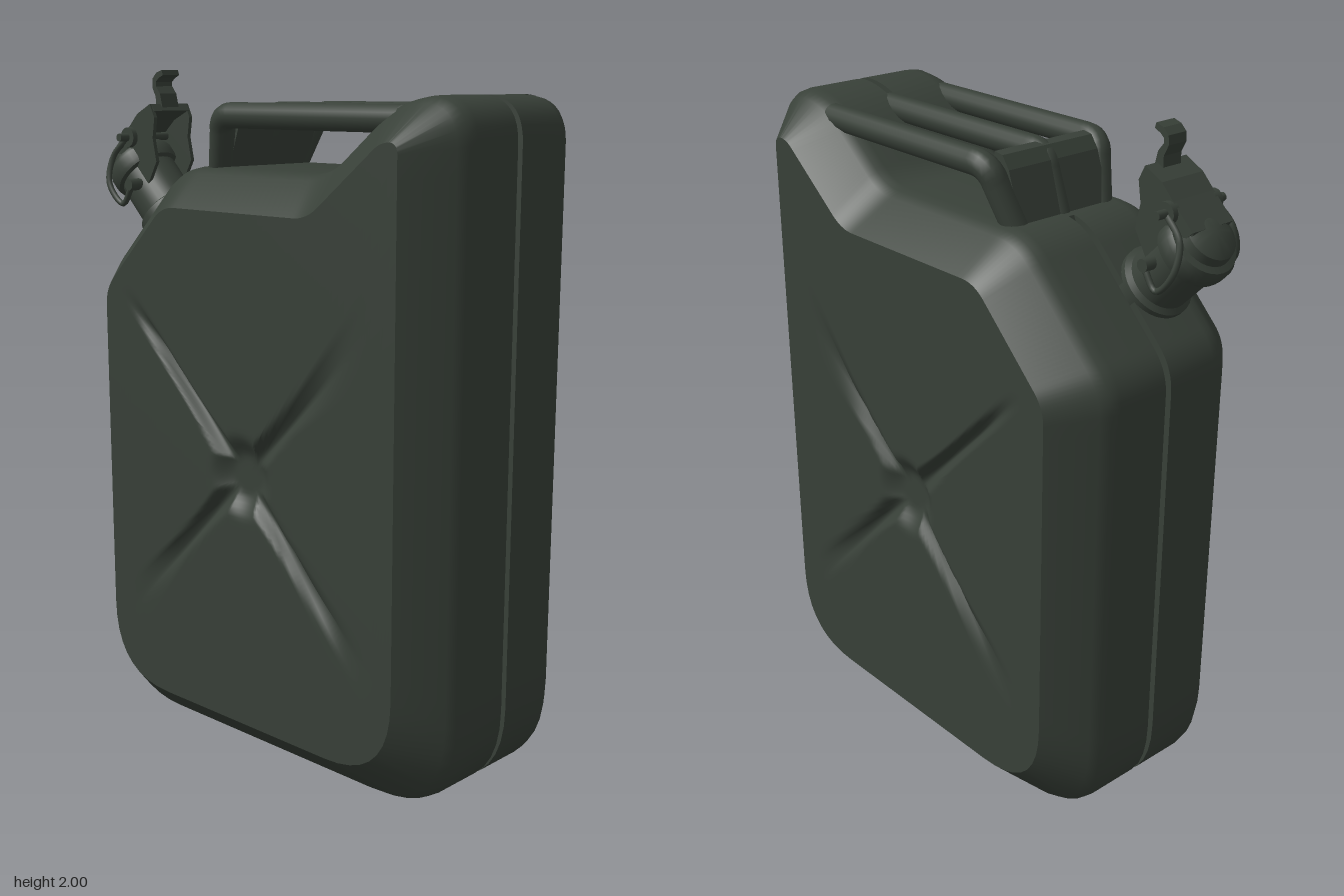
import * as THREE from 'three';
import { toCreasedNormals } from 'three/addons/utils/BufferGeometryUtils.js';

// Outline corners [x, y, corner radius], counter-clockwise
const OUTER = [[-0.66, 0, 0.27], [0.72, 0, 0.27], [0.72, 1.93, 0.12], [0.51, 1.935, 0.11],
  [0.25, 1.725, 0.06], [-0.33, 1.725, 0.08], [-0.66, 1.4, 0.07]];
const INNER = [[-0.55, 0.12, 0.24], [0.6, 0.12, 0.24], [0.6, 1.82, 0.03], [0.545, 1.82, 0.03],
  [0.29, 1.615, 0.05], [-0.285, 1.615, 0.05], [-0.55, 1.355, 0.05]];
const CENTRE = new THREE.Vector2(0.03, 0.87);

// Rounded polygon with the same number of points for every outline
function roundedOutline(corners) {
  const pts = [], n = corners.length, ARC = 9, EDGE = 22;
  const V = corners.map(c => new THREE.Vector2(c[0], c[1]));
  const toward = (i, k) => V[k].clone().sub(V[i]).normalize().multiplyScalar(corners[i][2]).add(V[i]);
  for (let i = 0; i < n; i++) {
    const next = (i + 1) % n, a = toward(i, (i + n - 1) % n), b = toward(i, next);
    pts.push(...new THREE.QuadraticBezierCurve(a, V[i], b).getPoints(ARC));
    const c = toward(next, i);
    for (let k = 1; k < EDGE; k++) pts.push(b.clone().lerp(c, k / EDGE));
  }
  return pts;
}

// Skin closed rings of Vector3; flip for the mirrored half
function loft(rings, flip) {
  const n = rings[0].length, idx = [];
  for (let i = 0; i < rings.length - 1; i++) for (let j = 0; j < n; j++) {
    const k = (j + 1) % n, a = i * n + j, b = a + n, c = (i + 1) * n + k, d = i * n + k;
    if (flip) idx.push(a, c, b, a, d, c);
    else idx.push(a, b, c, a, c, d);
  }
  const g = new THREE.BufferGeometry().setFromPoints(rings.flat());
  g.setIndex(idx);
  g.computeVertexNormals();
  return g;
}

// Depth of the pressed cross at an offset from its centre
function pressDepth(dx, dy) {
  const s = (Math.abs(dx) + Math.abs(dy)) / Math.SQRT2;
  const w = Math.abs(Math.abs(dx) - Math.abs(dy)) / Math.SQRT2;
  const half = 0.026 + 0.05 * Math.exp(-s / 0.12);
  const fade = THREE.MathUtils.smoothstep(0.7 - s, 0, 0.3);
  const arm = 0.032 * fade * (1 - THREE.MathUtils.smoothstep(w, 0, half));
  const pit = 0.036 * (1 - THREE.MathUtils.smoothstep(Math.hypot(dx, dy), 0.05, 0.13));
  return Math.max(arm, pit);
}

export function createModel() {
  const model = new THREE.Group();
  model.name = 'jerryCan';
  const green = new THREE.MeshStandardMaterial({ color: 0x384038 });
  green.name = 'dark olive green';
  const add = (name, geo, parent = model) => {
    const m = new THREE.Mesh(geo, green);
    m.name = name;
    parent.add(m);
    return m;
  };

  // Two pressed body halves that meet at the seam groove
  const outer = roundedOutline(OUTER), inner = roundedOutline(INNER);
  const profile = [[0, 0.34], [0.83, 0.232], [0.96, 0.205], [1, 0.175], [1, 0.01], [0.8, 0.01], [0.8, 0]];
  for (const side of [1, -1]) {
    const label = side > 0 ? 'front' : 'back';
    const shell = profile.map(([t, z]) => inner.map((p, j) => {
      const q = outer[j];
      const noGroove = q.y > 1 && q.x > -0.3 && q.x < 0.49;
      const u = z < 0.02 && noGroove ? 1 : t;
      return new THREE.Vector3(THREE.MathUtils.lerp(p.x, q.x, u), THREE.MathUtils.lerp(p.y, q.y, u), z * side);
    }));
    add(label + 'Shell', toCreasedNormals(loft(shell, side < 0), 0.52));

    const panel = [];
    for (let i = 0; i <= 56; i++) panel.push(inner.map(p => {
      const dx = (p.x - CENTRE.x) * i / 56, dy = (p.y - CENTRE.y) * i / 56;
      return new THREE.Vector3(CENTRE.x + dx, CENTRE.y + dy, side * (0.34 - pressDepth(dx, dy)));
    }));
    add(label + 'Panel', loft(panel, side < 0));
  }

  // Triple handle: three bars bent down into one slanted end wall
  const handle = new THREE.Group();
  handle.name = 'handle';
  model.add(handle);
  for (const k of [-1, 0, 1]) {
    const path = new THREE.CurvePath();
    const P = (x, y, z) => new THREE.Vector3(x, y, k * z);
    path.add(new THREE.LineCurve3(P(0.5, 1.873, 0.2), P(-0.13, 1.873, 0.2)));
    path.add(new THREE.QuadraticBezierCurve3(P(-0.13, 1.873, 0.2), P(-0.18, 1.873, 0.2), P(-0.19, 1.83, 0.185)));
    path.add(new THREE.LineCurve3(P(-0.19, 1.83, 0.185), P(-0.237, 1.7, 0.15)));
    add('handleBar', new THREE.TubeGeometry(path, 60, 0.037, 14), handle);
  }

  // Flat profile in x-y, given a width across z
  const slab = (pts, z, width) => new THREE.ExtrudeGeometry(
    new THREE.Shape(pts.map(p => new THREE.Vector2(p[0], p[1]))), { depth: width, bevelEnabled: false }
  ).translate(0, 0, z - width / 2);
  add('handleEndWall', slab([[-0.27, 1.7], [-0.2, 1.7], [-0.15, 1.84], [-0.16, 1.9], [-0.19, 1.895], [-0.215, 1.86]], 0, 0.32), handle);

  // Pouring neck and cap, tilted away from the shoulder
  const Z = 0.11;
  const spout = new THREE.Group();
  spout.name = 'spout';
  spout.position.set(-0.495, 1.565, Z);
  spout.rotation.z = Math.PI / 4;
  model.add(spout);
  const neck = [[0.105, -0.06], [0.105, 0.015], [0.09, 0.025], [0.09, 0.16], [0.102, 0.165], [0.106, 0.18],
    [0.106, 0.21], [0.098, 0.225], [0.08, 0.23], [0.075, 0.255], [0.05, 0.27], [0, 0.275]];
  add('neckAndCap', toCreasedNormals(new THREE.LatheGeometry(neck.map(p => new THREE.Vector2(...p)), 32), 0.6), spout);

  // Locking lever: side cheeks, bridge plate and curled thumb hook
  const lever = new THREE.Group();
  lever.name = 'lockingLever';
  model.add(lever);
  const cheek = [[-0.68, 1.765], [-0.61, 1.83], [-0.57, 1.87], [-0.51, 1.9], [-0.49, 1.86], [-0.5, 1.8],
    [-0.485, 1.73], [-0.52, 1.67], [-0.56, 1.61], [-0.6, 1.61], [-0.585, 1.67], [-0.62, 1.71]];
  for (const s of [-1, 1]) {
    add('leverCheek', slab(cheek, Z + s * 0.07, 0.012), lever);
    add('pivotPin', new THREE.CylinderGeometry(0.03, 0.03, 0.025, 16)
      .rotateX(Math.PI / 2).translate(-0.6, 1.8, Z + s * 0.08), lever);
    add('hingePin', new THREE.CylinderGeometry(0.018, 0.018, 0.05, 12)
      .rotateX(Math.PI / 2).translate(-0.56, 1.66, Z + s * 0.1), lever);
    // Bent wire from hinge to cap
    const wire = [[-0.56, 1.65, 0.115], [-0.6, 1.6, 0.115], [-0.66, 1.66, 0.118], [-0.66, 1.74, 0.1], [-0.6, 1.8, 0.09]];
    add('bailWire', new THREE.TubeGeometry(new THREE.CatmullRomCurve3(
      wire.map(p => new THREE.Vector3(p[0], p[1], Z + s * p[2]))), 30, 0.009, 8), lever);
  }
  add('crossPin', new THREE.CylinderGeometry(0.012, 0.012, 0.25, 10)
    .rotateX(Math.PI / 2).translate(-0.6, 1.8, Z), lever);
  add('leverBridge', slab([[-0.68, 1.765], [-0.61, 1.83], [-0.57, 1.87], [-0.51, 1.9], [-0.495, 1.88],
    [-0.56, 1.85], [-0.6, 1.815], [-0.67, 1.75]], Z, 0.14), lever);
  add('thumbHook', slab([[-0.53, 1.89], [-0.53, 1.92], [-0.545, 1.95], [-0.543, 1.975], [-0.525, 1.992], [-0.5, 2],
    [-0.495, 1.985], [-0.515, 1.976], [-0.528, 1.965], [-0.528, 1.952], [-0.51, 1.93], [-0.5, 1.89]], Z + 0.002, 0.065), lever);
  return model;
}
